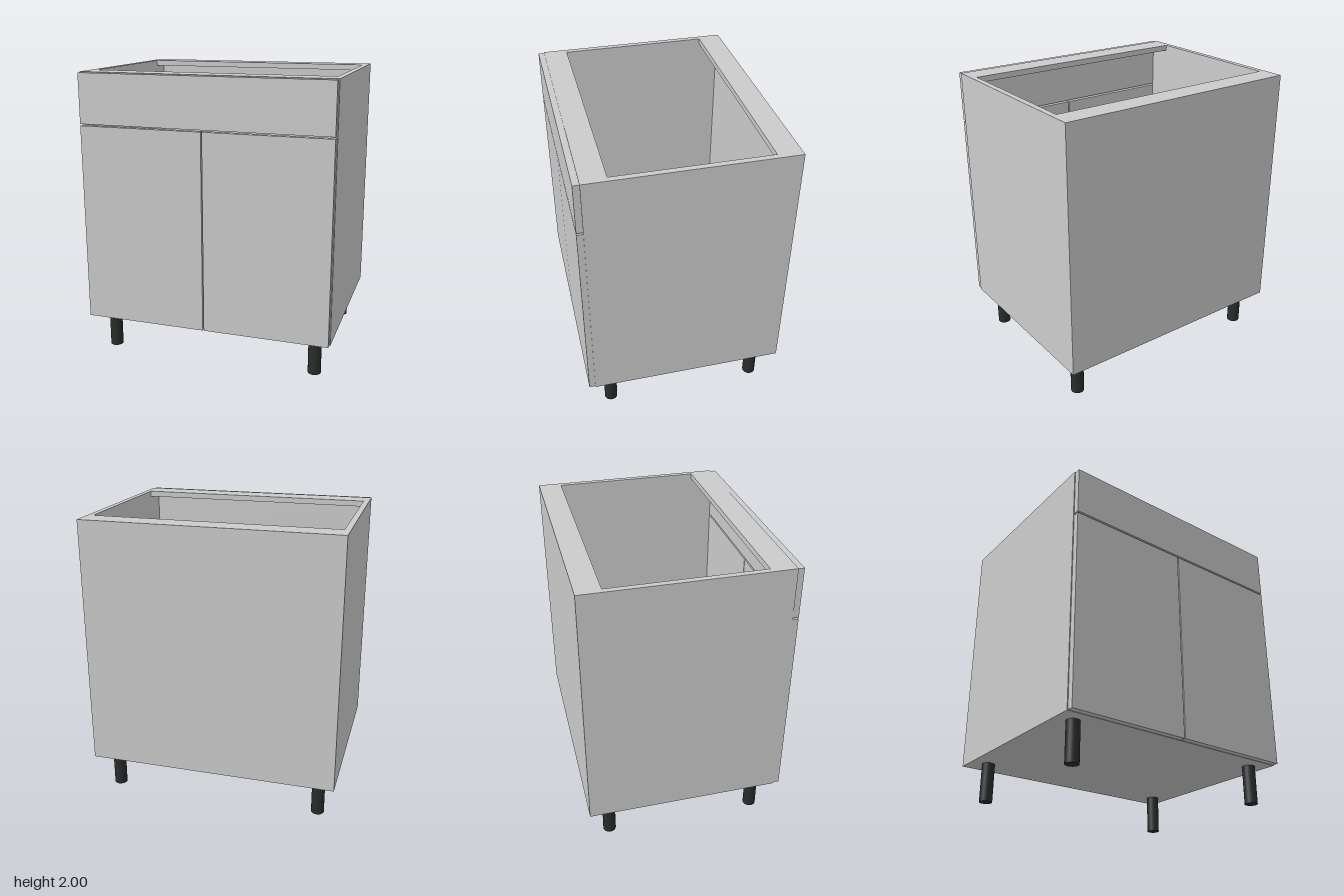
import * as THREE from 'three';

export function createModel() {
  const cabinet = new THREE.Group();
  cabinet.name = 'baseCabinet';
  const grey = new THREE.MeshStandardMaterial({ color: 0xcccccc });
  const black = new THREE.MeshStandardMaterial({ color: 0x2a2c2c });

  // Overall dimensions
  const W = 0.87;            // half width
  const T = 0.04;            // board thickness
  const inner = W - T;       // half width between the sides
  const base = 0.27, top = 2;
  const back = -0.69, front = 0.648, face = 0.69;

  // Board given by its limits on each axis
  function board(name, [x0, x1], [y0, y1], [z0, z1]) {
    const mesh = new THREE.Mesh(new THREE.BoxGeometry(x1 - x0, y1 - y0, z1 - z0), grey);
    mesh.position.set((x0 + x1) / 2, (y0 + y1) / 2, (z0 + z1) / 2);
    mesh.name = name;
    cabinet.add(mesh);
  }

  // Carcass
  const span = [-inner, inner];
  board('leftSide', [inner, W], [base, top], [back, front]);
  board('rightSide', [-W, -inner], [base, top], [back, front]);
  board('bottomPanel', span, [base, base + T], [back + 0.022, front]);
  board('backPanel', span, [base, top], [back, back + 0.022]);
  board('backStretcher', span, [top - T, top], [back + 0.022, -0.53]);
  board('frontStretcher', span, [top - T, top], [0.485, front]);

  // Drawer front and the two doors, with narrow gaps between them
  const edge = 0.864, gap = 0.004;
  board('drawerFront', [-edge, edge], [1.655, 1.996], [front, face]);
  board('leftDoor', [gap, edge], [0.273, 1.643], [front, face]);
  board('rightDoor', [-edge, -gap], [0.273, 1.643], [front, face]);

  // Round legs
  const legGeometry = new THREE.CylinderGeometry(0.045, 0.045, base, 32);
  for (const x of [-0.745, 0.745]) {
    for (const z of [-0.54, 0.525]) {
      const leg = new THREE.Mesh(legGeometry, black);
      leg.position.set(x, base / 2, z);
      leg.name = (z > 0 ? 'front' : 'back') + (x > 0 ? 'Left' : 'Right') + 'Leg';
      cabinet.add(leg);
    }
  }
  return cabinet;
}
